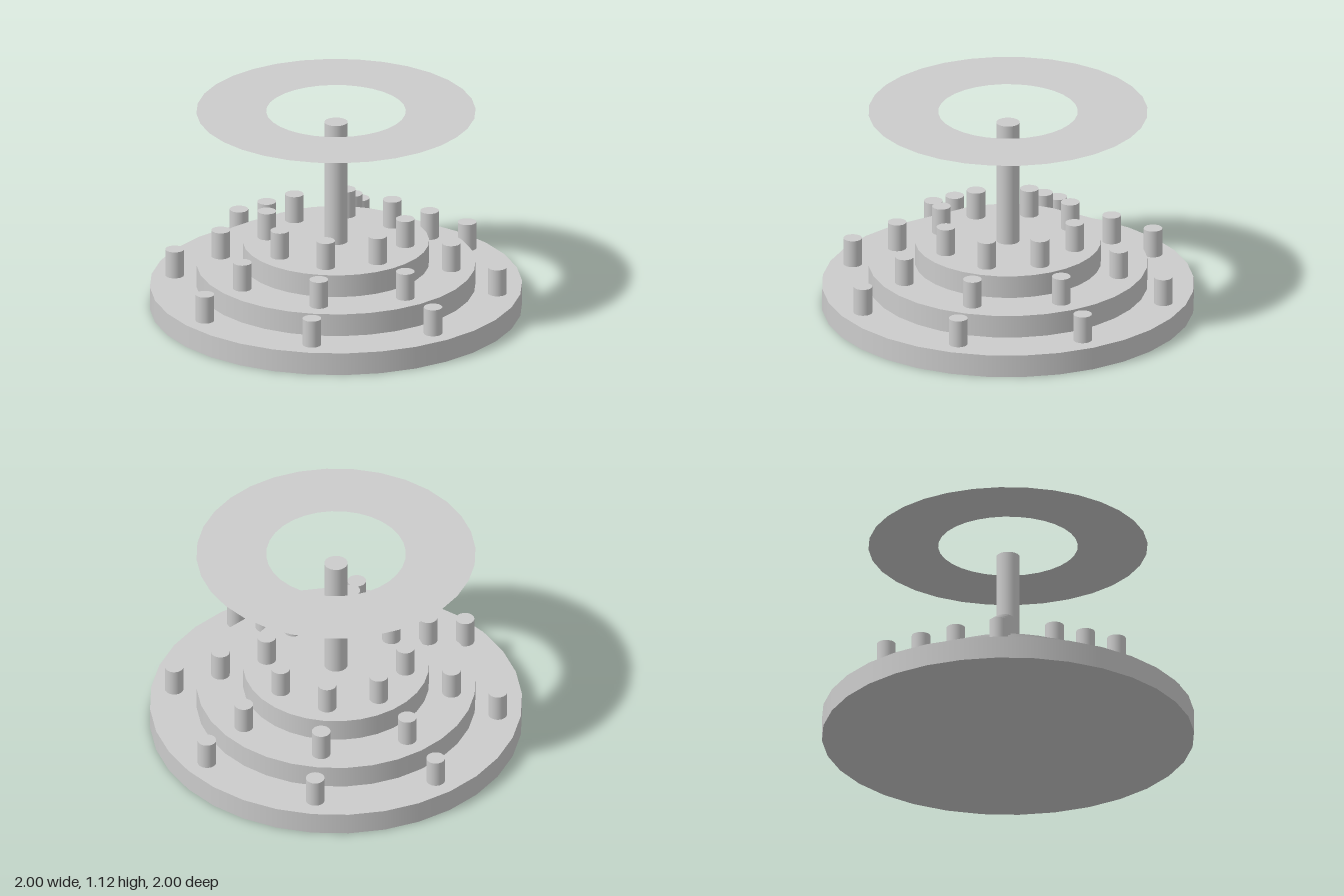
import * as THREE from 'three';

const material = new THREE.MeshStandardMaterial({ color: 0xcccccc });
const thinMaterial = new THREE.MeshStandardMaterial({ color: 0xcccccc, side: THREE.DoubleSide });

// Upright cylinder standing on height y
function column(name, radius, height, y, segments) {
  const mesh = new THREE.Mesh(new THREE.CylinderGeometry(radius, radius, height, segments), material);
  mesh.name = name;
  mesh.position.y = y + height / 2;
  return mesh;
}

export function createModel() {
  const model = new THREE.Group();
  model.name = 'tieredPlatform';

  // Three stacked discs, each with a circle of eight short posts
  const step = 0.125;
  [1, 0.75, 0.5].forEach((radius, level) => {
    const tier = new THREE.Group();
    tier.name = `tier${level + 1}`;
    tier.add(column('disc', radius, step, level * step, 32));
    for (let i = 0; i < 8; i++) {
      const angle = (i * Math.PI) / 4;
      const post = column('post', 0.05, 0.15, (level + 1) * step, 32);
      post.position.x = Math.cos(angle) * (radius - 0.125);
      post.position.z = Math.sin(angle) * (radius - 0.125);
      tier.add(post);
    }
    model.add(tier);
  });

  // Central mast
  model.add(column('mast', 0.0625, 0.6875, 0.375, 32));

  // Flat ring floating above the mast
  const ring = new THREE.Mesh(new THREE.RingGeometry(0.375, 0.75, 32), thinMaterial);
  ring.name = 'floatingRing';
  ring.rotation.x = -Math.PI / 2;
  ring.position.y = 1.125;
  model.add(ring);

  return model;
}
